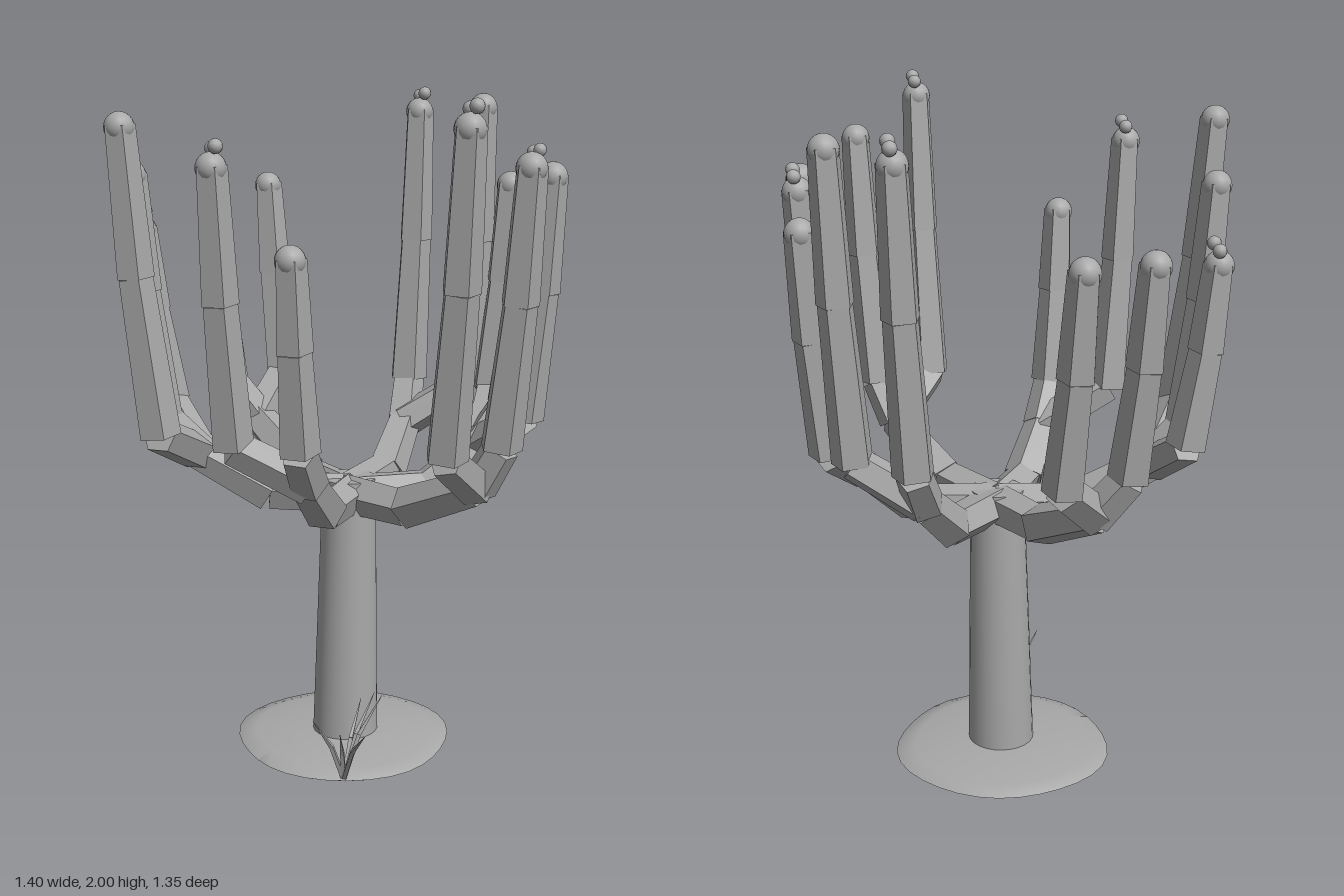
import * as THREE from 'three';

const V = (x, y, z) => new THREE.Vector3(x, y, z);

export function createModel() {
  const model = new THREE.Group();
  const smooth = new THREE.MeshStandardMaterial({ color: 0xa8a8a8 });
  smooth.name = 'stone grey';
  const flat = smooth.clone();
  flat.flatShading = true;

  const add = (parent, name, geometry, material = smooth) => {
    const mesh = new THREE.Mesh(geometry, material);
    mesh.name = name;
    parent.add(mesh);
    return mesh;
  };

  // Tapered prism running from a to b
  const segment = (parent, name, a, b, r0, r1, sides = 5) => {
    const dir = b.clone().sub(a);
    const mesh = add(parent, name, new THREE.CylinderGeometry(r1, r0, dir.length(), sides), flat);
    mesh.position.copy(a).add(b).multiplyScalar(0.5);
    mesh.quaternion.setFromUnitVectors(V(0, 1, 0), dir.normalize());
    return mesh;
  };

  // Low, slightly uneven mound of earth
  const mound = new THREE.LatheGeometry(
    [[0, 0], [0.31, 0], [0.325, 0.008], [0.27, 0.022], [0.15, 0.034], [0, 0.038]]
      .map(([x, y]) => new THREE.Vector2(x, y)), 32);
  const p = mound.attributes.position;
  for (let i = 0; i < p.count; i++) {
    const a = Math.atan2(p.getZ(i), p.getX(i));
    const k = 1 + 0.015 * Math.sin(3 * a) + 0.012 * Math.cos(5 * a);
    p.setX(i, p.getX(i) * k);
    p.setZ(i, p.getZ(i) * k);
  }
  mound.computeVertexNormals();
  add(model, 'groundMound', mound).position.set(-0.04, 0, -0.03);

  // Round trunk, leaning very slightly
  const trunk = new THREE.CylinderGeometry(0.08, 0.1, 0.83, 24);
  const t = trunk.attributes.position;
  for (let i = 0; i < t.count; i++) t.setX(i, t.getX(i) + 0.02 * (t.getY(i) / 0.83));
  add(model, 'trunk', trunk).position.set(-0.022, 0.435, -0.03);

  // Arms: elbow [x, z], fork [x, z], columns [foot x, foot z, tip x, tip z, top, has fruit]
  const arms = [
    { elbow: [-0.24, -0.03], fork: [-0.51, -0.03], columns: [
      [-0.585, -0.18, -0.665, -0.18, 1.69], [-0.585, 0.03, -0.66, 0.04, 1.68]] },
    { elbow: [-0.12, -0.25], fork: [-0.2, -0.38], columns: [
      [-0.27, -0.45, -0.3, -0.51, 1.93, true], [-0.09, -0.54, -0.1, -0.6, 1.95]] },
    { elbow: [0.1, -0.25], fork: [0.16, -0.39], columns: [
      [0.01, -0.56, 0, -0.63, 1.72], [0.18, -0.47, 0.2, -0.54, 1.79, true],
      [0.35, -0.39, 0.39, -0.44, 1.79]] },
    { elbow: [0.23, -0.06], fork: [0.5, -0.09], columns: [
      [0.56, -0.12, 0.63, -0.14, 1.85], [0.56, 0.07, 0.65, 0.085, 1.96, true]] },
    { elbow: [0.12, 0.15], fork: [0.21, 0.27], columns: [
      [0.28, 0.35, 0.32, 0.4, 1.62], [0.12, 0.46, 0.145, 0.525, 1.85, true]] },
    { elbow: [-0.14, 0.17], fork: [-0.26, 0.34], columns: [
      [-0.1, 0.56, -0.145, 0.63, 1.94], [-0.3, 0.44, -0.325, 0.5, 1.79],
      [-0.46, 0.32, -0.5, 0.375, 1.61, true]] },
  ];

  const hub = V(-0.01, 0.8, -0.03);
  for (const { elbow, fork, columns } of arms) {
    const arm = new THREE.Group();
    arm.name = 'arm';
    model.add(arm);
    const e = V(elbow[0], 0.81, elbow[1]);
    const f = V(fork[0], 0.93, fork[1]);
    segment(arm, 'innerArm', hub, e, 0.062, 0.056);
    segment(arm, 'outerArm', e, f, 0.064, 0.054);

    for (const [fx, fz, tx, tz, top, fruit] of columns) {
      const foot = V(fx, 1.05, fz);
      const tip = V(tx, top - 0.035, tz);
      const middle = foot.clone().lerp(tip, 0.65).setY(1.05 + (top - 1.05) * 0.5);
      segment(arm, 'fork', f, foot, 0.058, 0.052);
      segment(arm, 'lowerColumn', foot, middle, 0.061, 0.05);
      segment(arm, 'upperColumn', middle, tip, 0.054, 0.044);
      // Rounded tip
      add(arm, 'columnTip', new THREE.SphereGeometry(0.042, 16, 12)).position.set(tx, top - 0.042, tz);
      // Pair of small fruits
      if (fruit) for (const s of [-1, 1]) {
        add(arm, 'fruit', new THREE.SphereGeometry(0.02, 12, 8))
          .position.set(tx + s * 0.026, top + 0.01 + s * 0.005, tz - 0.01 + s * 0.011);
      }
    }
  }

  // Grass tuft: thin blades that bend outwards
  const tuft = new THREE.Group();
  tuft.name = 'grassTuft';
  model.add(tuft);
  const root = V(0.21, 0.005, 0.15);
  for (const [x, y, z] of [[0.145, 0.21, 0.04], [0.205, 0.25, 0.035], [0.25, 0.26, 0.04],
    [0.395, 0.23, 0.21], [0.21, 0.22, 0.26], [0.26, 0.18, 0.2]]) {
    const tip = V(x, y, z);
    const bend = root.clone().lerp(tip, 0.4).setY(y * 0.55);
    segment(tuft, 'bladeBase', root, bend, 0.009, 0.008, 4);
    segment(tuft, 'bladeTip', bend, tip, 0.008, 0.0008, 4);
  }

  return model;
}
